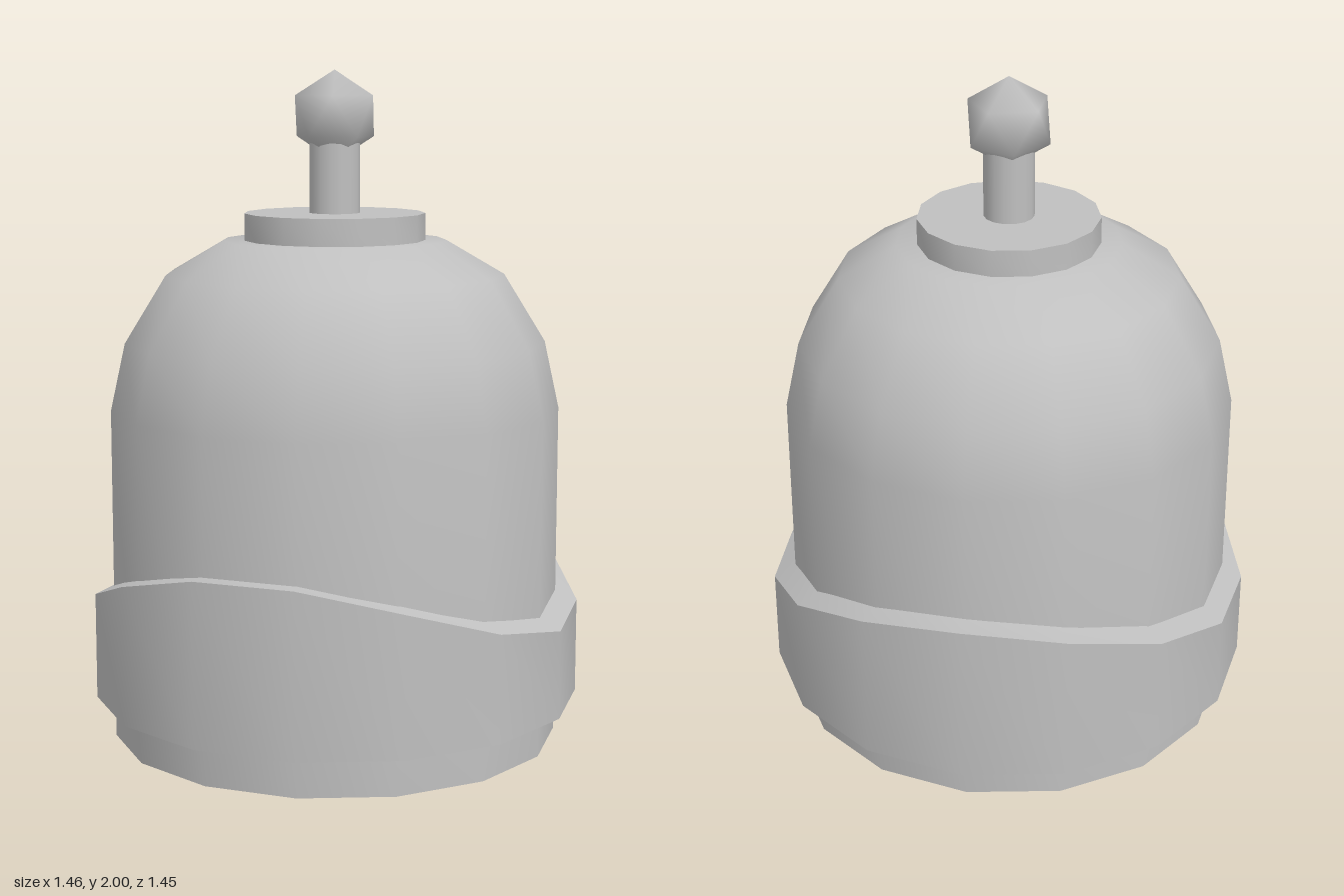
import * as THREE from 'three';
import { mergeVertices, toCreasedNormals } from 'three/addons/utils/BufferGeometryUtils.js';

const SIDES = 15;
const CREASE = THREE.MathUtils.degToRad(40);

// Fifteen-sided turned shape with one corner pointing straight back
function turned(points) {
  const profile = points.map(([r, y]) => new THREE.Vector2(r, y));
  return new THREE.LatheGeometry(profile, SIDES, Math.PI);
}

export function createModel() {
  const group = new THREE.Group();
  const grey = new THREE.MeshStandardMaterial({ color: 0xc0c0c0 });

  function add(name, geometry, z) {
    const mesh = new THREE.Mesh(geometry, grey);
    mesh.name = name;
    mesh.position.z = z;
    group.add(mesh);
    return mesh;
  }

  // Domed body with a closed base
  add('body', toCreasedNormals(turned([
    [0, 0], [0.672, 0], [0.672, 1], [0.628, 1.2],
    [0.505, 1.4], [0.333, 1.5], [0, 1.5],
  ]), CREASE), 0.021);

  // Band around the base; its top edge arches at front and back
  const TOP = 1;
  const band = turned([[0.64, 0.12], [0.734, 0.12], [0.734, TOP], [0.64, TOP]]);
  const p = band.attributes.position;
  for (let i = 0; i < p.count; i++) {
    if (p.getY(i) > 0.5) p.setY(i, 0.614 - 0.43 * p.getX(i) ** 2);
  }
  add('band', toCreasedNormals(band, CREASE), 0.008);

  // Flat disc on top of the dome
  add('topDisc', toCreasedNormals(turned([
    [0, 1.49], [0.27, 1.49], [0.27, 1.58], [0, 1.58],
  ]), CREASE), 0.021);

  // Stem holding the knob
  const stem = new THREE.CylinderGeometry(0.075, 0.075, 0.24, SIDES, 1, false, Math.PI);
  add('stem', stem, 0.021).position.y = 1.69;

  // Smooth-shaded twenty-faced knob standing on one corner
  let knob = new THREE.IcosahedronGeometry(0.135, 0);
  knob.deleteAttribute('normal');
  knob.deleteAttribute('uv');
  knob = mergeVertices(knob, 1e-4);
  knob.rotateZ(-Math.atan(2 / (1 + Math.sqrt(5))));
  knob.computeVertexNormals();
  add('knob', knob, 0.021).position.y = 1.865;

  return group;
}
